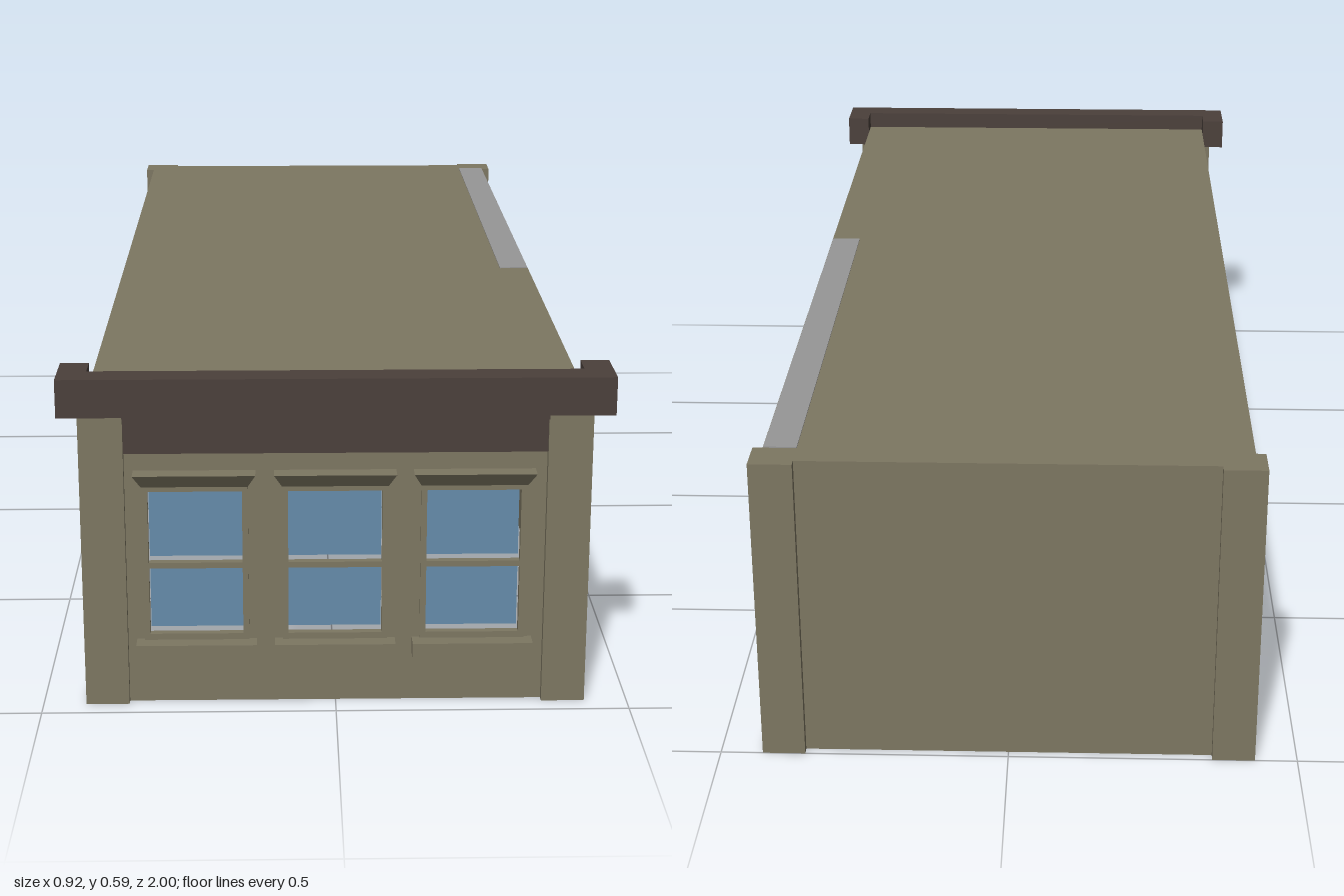
import * as THREE from 'three';

const wall = new THREE.MeshStandardMaterial({ color: 0x7d7762 });
wall.name = 'olive wall';
const trim = new THREE.MeshStandardMaterial({ color: 0x4b403b });
trim.name = 'dark brown trim';
const glass = new THREE.MeshStandardMaterial({ color: 0x658cab });
glass.name = 'blue glass';
const metal = new THREE.MeshStandardMaterial({ color: 0x979797 });
metal.name = 'grey roof strip';

// Box given by its limits on each axis
function box(parent, name, mat, x0, x1, y0, y1, z0, z1) {
  const mesh = new THREE.Mesh(new THREE.BoxGeometry(x1 - x0, y1 - y0, z1 - z0), mat);
  mesh.position.set((x0 + x1) / 2, (y0 + y1) / 2, (z0 + z1) / 2);
  mesh.name = name;
  parent.add(mesh);
  return mesh;
}

const corners = (x0, x1, y0, y1) =>
  [[x0, y0], [x1, y0], [x1, y1], [x0, y1]].map(([x, y]) => new THREE.Vector2(x, y));

// Upright plate with rectangular openings, from z0 to z1
function pierced(parent, name, outer, holes, z0, z1) {
  const shape = new THREE.Shape(corners(...outer));
  for (const h of holes) shape.holes.push(new THREE.Path(corners(...h).reverse()));
  const geo = new THREE.ExtrudeGeometry(shape, { depth: z1 - z0, bevelEnabled: false });
  const mesh = new THREE.Mesh(geo, wall);
  mesh.position.z = z0;
  mesh.name = name;
  parent.add(mesh);
}

const SIDE = 0.41, ROOF = 0.555, FRONT = 0.953, BACK = -0.985;
const windowCentres = [-0.236, -0.001, 0.232];
const HALF = 0.089, SILL = 0.115, HEAD = 0.393;

function makeWindow(cx) {
  const g = new THREE.Group();
  g.name = 'window';
  const px = 0.079;
  const panes = [[-px, px, 0.126, 0.245], [-px, px, 0.255, 0.382]];
  pierced(g, 'windowFrame', [-HALF, HALF, SILL, HEAD], panes, FRONT - 0.008, FRONT + 0.005);
  // panes stand a little behind the frame
  for (const [x0, x1, y0, y1] of panes) box(g, 'pane', glass, x0, x1, y0, y1, 0.922, 0.925);
  box(g, 'sill', wall, -0.102, 0.102, 0.088, SILL, FRONT - 0.005, 0.984);
  // hood flares outward toward its top
  const hood = box(g, 'hood', wall, -HALF, HALF, HEAD, 0.418, FRONT - 0.005, 0.966);
  const p = hood.geometry.attributes.position;
  for (let i = 0; i < p.count; i++) {
    if (p.getY(i) < 0) continue;
    p.setX(i, p.getX(i) * 0.102 / HALF);
    if (p.getZ(i) > 0) p.setZ(i, p.getZ(i) + 0.018);
  }
  hood.geometry.computeVertexNormals();
  g.position.x = cx;
  return g;
}

export function createModel() {
  const model = new THREE.Group();
  model.name = 'building';

  // Hollow shell, open underneath
  box(model, 'roof', wall, -SIDE, SIDE, ROOF - 0.006, ROOF, BACK, FRONT);
  box(model, 'backWall', wall, -SIDE, SIDE, 0, ROOF - 0.006, BACK, BACK + 0.005);
  for (const s of [-1, 1]) {
    const x = s * (SIDE - 0.0025);
    box(model, 'sideWall', wall, x - 0.0025, x + 0.0025, 0, ROOF - 0.006, BACK + 0.005, FRONT - 0.005);
  }
  const openings = windowCentres.map((c) => [c - HALF, c + HALF, SILL, HEAD]);
  pierced(model, 'frontWall', [-SIDE, SIDE, 0, ROOF - 0.006], openings, FRONT - 0.005, FRONT);
  box(model, 'roofStrip', metal, 0.353, 0.409, ROOF, ROOF + 0.002, -0.935, 0.11);

  // Corner pilasters wrap each corner
  for (const s of [-1, 1]) {
    const span = (a, b) => (s > 0 ? [a, b] : [-b, -a]);
    const face = span(0.353, 0.427), flank = span(SIDE, 0.427);
    box(model, 'frontPilaster', wall, ...face, 0, 0.525, FRONT, 0.966);
    box(model, 'frontPilasterSide', wall, ...flank, 0, 0.525, 0.903, FRONT);
    box(model, 'backPilaster', wall, ...face, 0, ROOF, -1, BACK);
    box(model, 'backPilasterSide', wall, ...flank, 0, ROOF, BACK, -0.935);
    // cornice returns along the sides
    box(model, 'corniceReturn', trim, ...span(SIDE, 0.458), 0.525, 0.59, 0.9, 0.95);
  }

  // Cornice and frieze
  box(model, 'cornice', trim, -0.458, 0.458, 0.525, 0.59, 0.95, 1);
  box(model, 'frieze', trim, -0.353, 0.353, 0.45, 0.51, FRONT, 0.961);
  box(model, 'friezeMoulding', trim, -0.353, 0.353, 0.51, 0.525, FRONT, 0.973);

  for (const c of windowCentres) model.add(makeWindow(c));
  return model;
}
